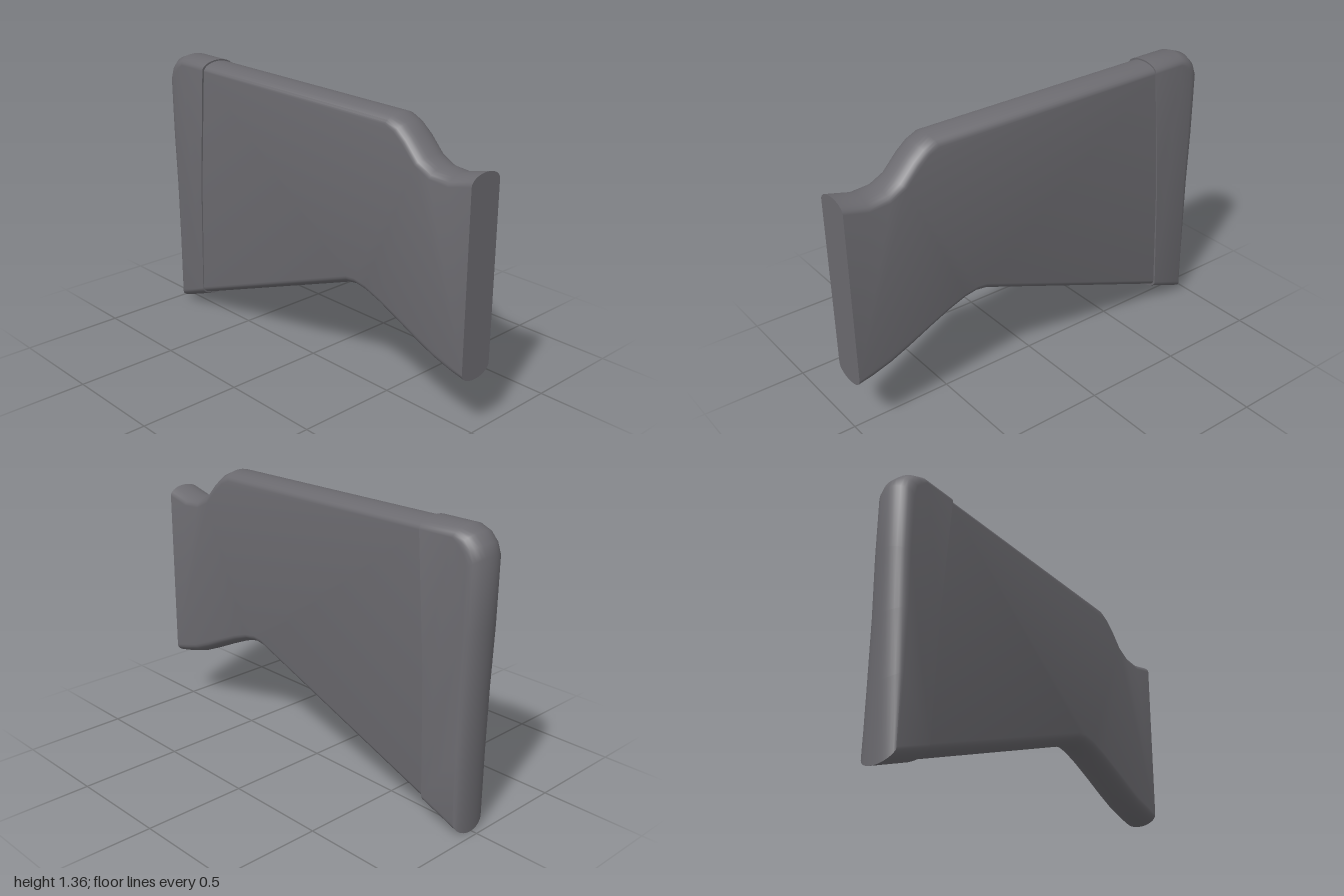
import * as THREE from 'three';
import { toCreasedNormals } from 'three/addons/utils/BufferGeometryUtils.js';

// Slab with rounded rims. Each row is [outerX, outerY, innerX, innerY], counter-clockwise:
// the outer line is the rim's crest, the inner line borders the flat side.
function roundedSlab(rows, halfWidth, lean) {
  const steps = 7;
  const count = rows.length;
  const positions = [];
  const index = [];
  for (let j = -steps; j <= steps; j++) {
    const a = (j / steps) * Math.PI / 2;
    const t = 1 - Math.cos(a);
    for (const [ox, oy, ix, iy] of rows) {
      const y = oy + (iy - oy) * t;
      positions.push(ox + (ix - ox) * t, y, halfWidth * Math.sin(a) + (y - 0.7) * lean);
    }
  }
  // rim
  for (let j = 0; j < 2 * steps; j++) {
    for (let i = 0; i < count; i++) {
      const k = (i + 1) % count;
      const a = j * count + i, b = j * count + k;
      index.push(a, b, b + count, a, b + count, a + count);
    }
  }
  // flat sides
  const inner = rows.map((r) => new THREE.Vector2(r[2], r[3]));
  const front = 2 * steps * count;
  for (const [a, b, c] of THREE.ShapeUtils.triangulateShape(inner, [])) {
    index.push(front + a, front + b, front + c, a, c, b);
  }
  const geometry = new THREE.BufferGeometry();
  geometry.setAttribute('position', new THREE.Float32BufferAttribute(positions, 3));
  geometry.setIndex(index);
  return toCreasedNormals(geometry, 0.55);
}

export function createModel() {
  const group = new THREE.Group();
  group.name = 'shoulderStock';
  const darkGrey = new THREE.MeshStandardMaterial({ color: 0x6b6a6f });
  darkGrey.name = 'dark grey';

  // Main body: underside, flat front end, neck dip and comb, then the seam
  const bodyRows = [
    [-0.77, 0.085, -0.77, 0.13],
    [0.30, 0.490, 0.31, 0.540],
    [0.36, 0.498, 0.36, 0.545],
    [0.42, 0.488, 0.43, 0.533],
    [0.50, 0.458, 0.52, 0.500],
    [0.60, 0.413, 0.62, 0.455],
    [0.72, 0.355, 0.74, 0.397],
    [0.82, 0.310, 0.84, 0.355],
    [0.92, 0.280, 0.93, 0.326],
    [1.00, 0.262, 1.00, 0.310],
    [1.00, 1.178, 1.00, 1.132],
    [0.88, 1.148, 0.88, 1.104],
    [0.79, 1.155, 0.78, 1.112],
    [0.73, 1.187, 0.70, 1.152],
    [0.66, 1.262, 0.63, 1.228],
    [0.61, 1.305, 0.58, 1.268],
    [0.55, 1.333, 0.53, 1.291],
    [-0.69, 1.350, -0.69, 1.308],
    [-0.74, 0.72, -0.74, 0.72],
  ];
  const body = new THREE.Mesh(roundedSlab(bodyRows, 0.088, 0.004), darkGrey);
  body.name = 'stockBody';
  group.add(body);

  // Butt pad: slightly proud of the body, rounded round the rear
  const padRows = [
    [-0.97, 0.0, -0.945, 0.062],
    [-0.765, 0.078, -0.765, 0.128],
    [-0.74, 0.72, -0.74, 0.72],
    [-0.69, 1.357, -0.69, 1.312],
    [-0.88, 1.359, -0.86, 1.314],
    [-0.94, 1.338, -0.895, 1.295],
    [-0.98, 1.298, -0.92, 1.262],
    [-1.00, 1.25, -0.935, 1.21],
    [-0.998, 0.95, -0.936, 0.92],
    [-0.988, 0.65, -0.931, 0.67],
    [-0.98, 0.35, -0.936, 0.38],
  ];
  const pad = new THREE.Mesh(roundedSlab(padRows, 0.095, 0.008), darkGrey);
  pad.name = 'buttPad';
  group.add(pad);

  return group;
}
